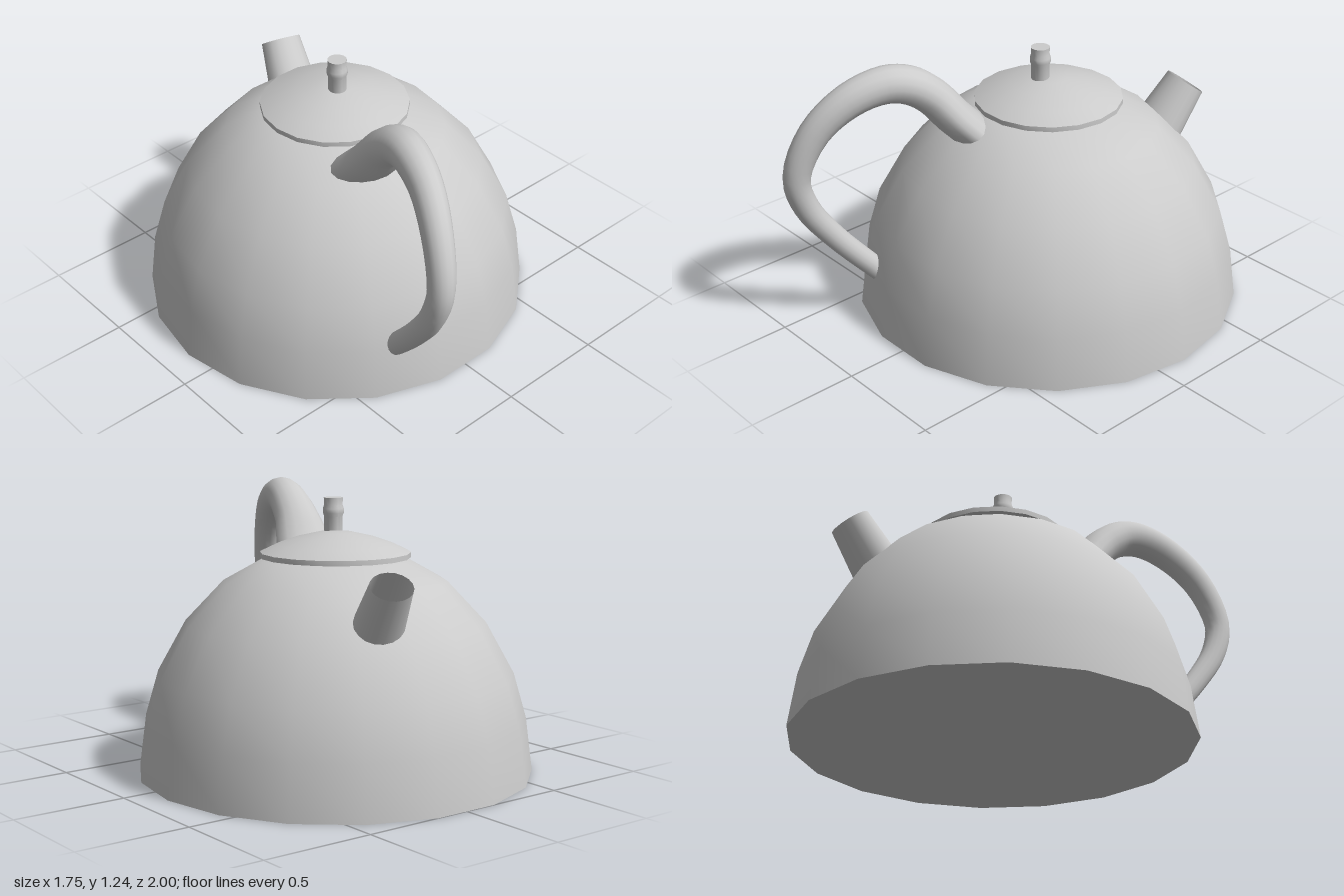
import * as THREE from 'three';
import { toCreasedNormals } from 'three/addons/utils/BufferGeometryUtils.js';

const material = new THREE.MeshStandardMaterial({ color: 0xcccccc });
const openMaterial = new THREE.MeshStandardMaterial({ color: 0xcccccc, side: THREE.DoubleSide });

// Turned part: profile of [radius, height] from the bottom up, with a corner on the x axis
function turned(name, profile, sides, x, z) {
  const points = profile.map(([r, y]) => new THREE.Vector2(r, y));
  const geometry = new THREE.LatheGeometry(points, sides).rotateY(Math.PI / 2);
  const mesh = new THREE.Mesh(toCreasedNormals(geometry, 0.7), material);
  mesh.name = name;
  mesh.position.set(x, 0, z);
  return mesh;
}

// Curved handle: an oval section swept along a path, flaring at the upper root.
// Each station is [x, y, z, radius in the plane of the arch, radius across it].
function handleGeometry(stations, steps, sides) {
  const path = new THREE.CatmullRomCurve3(stations.map(([x, y, z]) => new THREE.Vector3(x, y, z)));
  const across = new THREE.Vector3(0.95, 0, 0.32).normalize();
  const positions = [], indices = [];
  for (let i = 0; i <= steps; i++) {
    const t = i / steps;
    const centre = path.getPoint(t);
    const tangent = path.getTangent(t);
    const n = new THREE.Vector3().crossVectors(tangent, across).normalize();
    const b = new THREE.Vector3().crossVectors(tangent, n).normalize();
    const k = Math.min(Math.floor(t * (stations.length - 1)), stations.length - 2);
    const f = t * (stations.length - 1) - k;
    const rn = THREE.MathUtils.lerp(stations[k][3], stations[k + 1][3], f);
    const rb = THREE.MathUtils.lerp(stations[k][4], stations[k + 1][4], f);
    for (let j = 0; j < sides; j++) {
      const a = (j / sides) * Math.PI * 2;
      const p = centre.clone().addScaledVector(n, rn * Math.cos(a)).addScaledVector(b, rb * Math.sin(a));
      positions.push(p.x, p.y, p.z);
      if (i < steps) {
        const p0 = i * sides + j, p1 = i * sides + (j + 1) % sides;
        indices.push(p0, p1, p0 + sides, p1, p1 + sides, p0 + sides);
      }
    }
  }
  const geometry = new THREE.BufferGeometry();
  geometry.setAttribute('position', new THREE.Float32BufferAttribute(positions, 3));
  geometry.setIndex(indices);
  geometry.computeVertexNormals();
  return geometry;
}

export function createModel() {
  const group = new THREE.Group();
  const bodyZ = -0.14;

  // Domed body with a flat closed base
  group.add(turned('body', [
    [0, 0], [0.874, 0], [0.843, 0.235], [0.785, 0.435], [0.66, 0.66],
    [0.49, 0.84], [0.32, 0.935], [0, 0.95],
  ], 18, 0, bodyZ));

  // Shallow lid with a thin rim
  group.add(turned('lid', [
    [0, 0.945], [0.33, 0.945], [0.33, 0.967], [0.26, 1.0], [0.17, 1.031], [0.08, 1.052], [0, 1.06],
  ], 18, 0, bodyZ));

  // Knob with a swollen collar
  group.add(turned('knob', [
    [0.04, 1.03], [0.04, 1.118], [0.046, 1.133], [0.046, 1.152], [0.04, 1.168], [0.042, 1.2], [0, 1.2],
  ], 18, -0.016, -0.105));

  // Short open spout leaning out towards the back
  const base = new THREE.Vector3(0.19, 0.725, -0.665);
  const tip = new THREE.Vector3(0.225, 0.906, -0.789);
  const axis = tip.clone().sub(base);
  const spout = new THREE.Mesh(
    new THREE.CylinderGeometry(0.082, 0.1, axis.length(), 18, 1, true).scale(1.2, 1, 1), openMaterial);
  spout.geometry.scale(0.98, 1, 1);
  spout.name = 'spout';
  spout.position.copy(base).add(tip).multiplyScalar(0.5);
  spout.quaternion.setFromUnitVectors(new THREE.Vector3(0, 1, 0), axis.normalize());
  group.add(spout);

  // Arched handle at the front
  const handle = new THREE.Mesh(handleGeometry([
    [-0.135, 0.86, 0.2, 0.083, 0.16],
    [-0.15, 0.95, 0.285, 0.083, 0.135],
    [-0.175, 1.06, 0.375, 0.083, 0.105],
    [-0.2, 1.135, 0.475, 0.083, 0.09],
    [-0.235, 1.157, 0.58, 0.082, 0.08],
    [-0.29, 1.11, 0.73, 0.077, 0.07],
    [-0.355, 0.98, 0.865, 0.068, 0.063],
    [-0.398, 0.78, 0.94, 0.06, 0.056],
    [-0.398, 0.62, 0.9, 0.056, 0.052],
    [-0.37, 0.45, 0.79, 0.052, 0.05],
    [-0.325, 0.275, 0.645, 0.05, 0.05],
    [-0.31, 0.225, 0.6, 0.05, 0.05],
  ], 44, 16), openMaterial);
  handle.name = 'handle';
  group.add(handle);

  return group;
}
